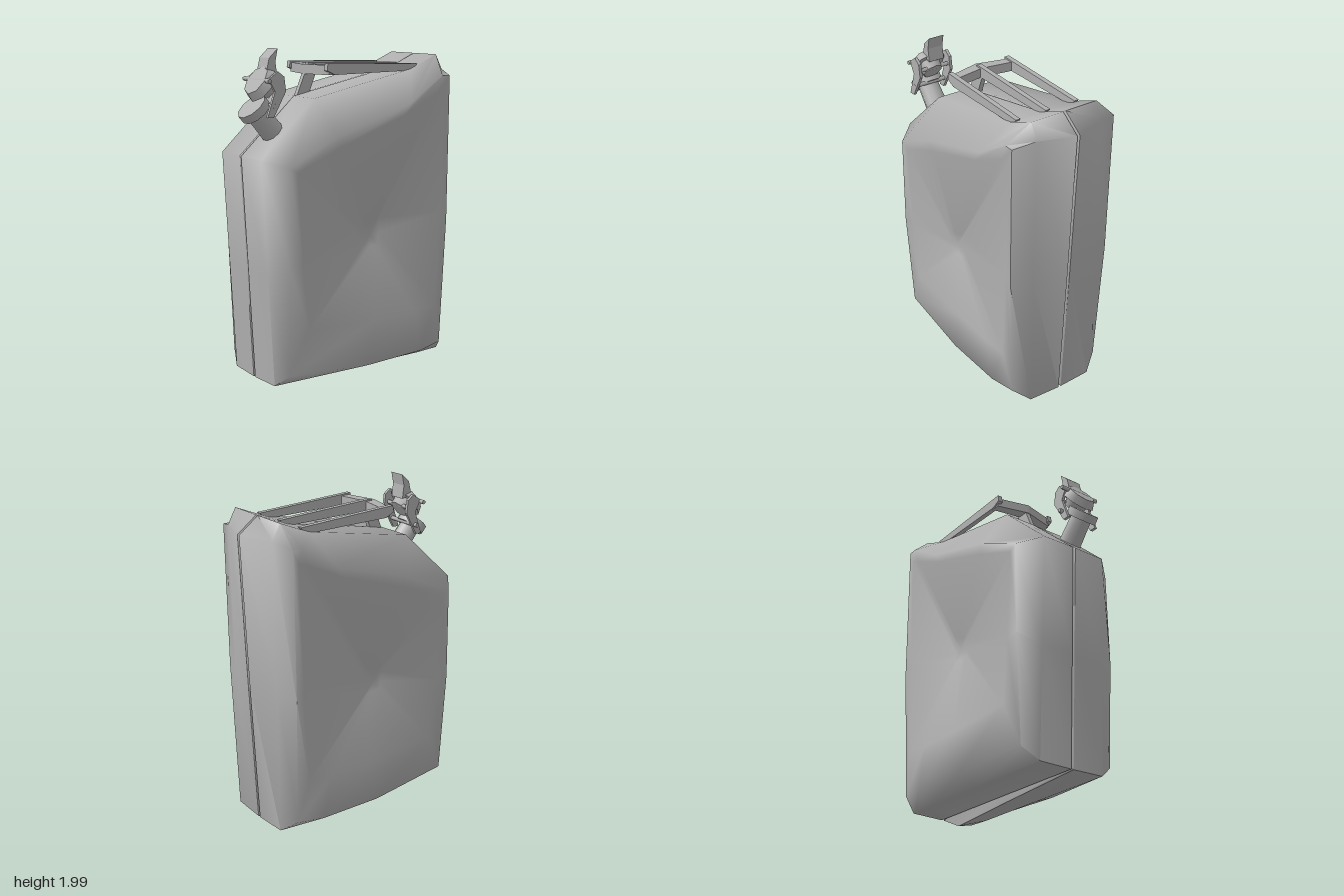
import * as THREE from 'three';
import { toCreasedNormals } from 'three/addons/utils/BufferGeometryUtils.js';

export function createModel() {
  const model = new THREE.Group();
  const grey = new THREE.MeshStandardMaterial({ color: 0xb0b0b0, side: THREE.DoubleSide });
  grey.name = 'plain grey';

  function add(name, geometry, parent = model) {
    const mesh = new THREE.Mesh(geometry, grey);
    mesh.name = name;
    parent.add(mesh);
    return mesh;
  }

  // Skin a closed body from outlines stacked along z, fanned shut at both ends.
  // A point may carry its own distance from the middle as a third number.
  function loft(rings, backCentre, frontCentre) {
    const n = rings[0].pts.length;
    const pos = [];
    const index = [];
    rings.forEach(({ z, pts }) => pts.forEach(([x, y, d = Math.abs(z)]) => pos.push(x, y, d * Math.sign(z))));
    pos.push(...backCentre, ...frontCentre);
    const back = rings.length * n, last = (rings.length - 1) * n;
    for (let i = 0; i < n; i++) {
      const j = (i + 1) % n;
      for (let k = 0; k < rings.length - 1; k++) {
        const a = k * n + i, b = k * n + j;
        index.push(a, b, b + n, a, b + n, a + n);
      }
      index.push(back, j, i, back + 1, last + i, last + j);
    }
    const g = new THREE.BufferGeometry();
    g.setAttribute('position', new THREE.Float32BufferAttribute(pos, 3));
    g.setIndex(index);
    return toCreasedNormals(g, 1.3);
  }

  // Body outlines, counter-clockwise from the bottom left corner
  const seam = [[-.585, .08], [0, .045], [.48, .01], [.64, .08], [.68, .96], [.715, 1.85],
    [.59, 1.94], [.4, 1.86], [-.3, 1.72], [-.655, 1.4], [-.62, .74]];
  const seamBack = seam.map(([x, y]) => [x, Math.max(y, .08)]);
  const groove = seamBack.map(([x, y]) => [x * .965, .95 + (y - .95) * .975]);
  const shoulder = [[-.58, .085], [0, .083], [.48, .08], [.635, .085], [.63, .96], [.64, 1.85],
    [.59, 1.94], [.4, 1.86], [-.3, 1.72], [-.65, 1.4], [-.615, .74]];
  const side = [[-.54, .16, .31], [0, .13], [.4, .14, .335], [.575, .16, .31], [.59, .95], [.595, 1.82],
    [.54, 1.82], [.3, 1.67], [-.22, 1.51], [-.54, 1.36], [-.55, .8]];
  const panel = [[-.42, .42], [.05, .4], [.35, .4], [.51, .42], [.54, 1], [.56, 1.74],
    [.5, 1.72], [.25, 1.6], [-.2, 1.45], [-.49, 1.33], [-.46, .8]];
  const [cx, cy] = [.02, .91];
  const press = panel.map(([x, y]) => [cx + (x - cx) * .12, cy + (y - cy) * .12]);
  const body = loft([
    { z: -.21, pts: press }, { z: -.337, pts: panel }, { z: -.34, pts: side }, { z: -.215, pts: shoulder },
    { z: -.008, pts: seamBack }, { z: 0, pts: groove }, { z: .008, pts: seam },
    { z: .215, pts: shoulder }, { z: .34, pts: side }, { z: .337, pts: panel }, { z: .21, pts: press },
  ], [cx, cy, -.19], [cx, cy, .19]);

  // Relax the pressed middle to a shallow dip, keeping its crisp normals
  const p = body.attributes.position;
  for (let i = 0; i < p.count; i++) {
    const z = p.getZ(i);
    if (Math.hypot(p.getX(i) - cx, p.getY(i) - cy) < .2) p.setZ(i, Math.sign(z) * .315);
  }
  add('body', body);

  // Extrude an outline in the xy plane, centred on a given z
  function plate(points, z, depth) {
    const shape = new THREE.Shape(points.map(([x, y]) => new THREE.Vector2(x, y)));
    const g = new THREE.ExtrudeGeometry(shape, { depth, bevelEnabled: false });
    g.translate(0, 0, z - depth / 2);
    return g;
  }

  // Three carrying rails; only the middle one has a leg down to the body
  const sideRail = [[-.205, 1.87], [-.15, 1.845], [.42, 1.85], [.45, 1.89], [-.2, 1.91]];
  const middleRail = [[-.29, 1.7], [-.21, 1.7], [-.15, 1.845], [.42, 1.85], [.45, 1.89], [-.2, 1.91]];
  add('handleRailLeft', plate(sideRail, .195, .03));
  add('handleRailMiddle', plate(middleRail, 0, .03));
  add('handleRailRight', plate(sideRail, -.195, .03));

  // Bowed plate joining the front ends of the rails
  const bow = [[-.185, -.2], [-.13, -.2], [-.165, 0], [-.13, .2], [-.185, .2], [-.235, 0]];
  const crossPlate = add('handleCrossPlate', plate(bow, 0, .055));
  crossPlate.rotation.x = Math.PI / 2;
  crossPlate.position.y = 1.872;

  // Spout, with its own y axis along the pouring direction
  const spout = new THREE.Group();
  spout.name = 'spout';
  spout.position.set(-.5, 1.53, .1);
  spout.rotation.z = .72;
  model.add(spout);
  add('neck', new THREE.CylinderGeometry(.062, .068, .2, 10), spout).position.y = .06;
  add('collar', new THREE.CylinderGeometry(.092, .092, .05, 10), spout).position.y = .185;

  // Open lid, leaning back over the hinge
  const lid = new THREE.Group();
  lid.name = 'lid';
  lid.position.set(-.585, 1.81, .11);
  lid.rotation.z = .96;
  model.add(lid);
  add('lidDish', new THREE.CylinderGeometry(.09, .11, .05, 8), lid).position.y = .01;
  add('lidPlug', new THREE.CylinderGeometry(.075, .06, .06, 8), lid).position.y = -.04;

  // Hinge pins and the paired clamp arms
  function pin(name, x, y, length, radius) {
    const m = add(name, new THREE.CylinderGeometry(radius, radius, length, 6));
    m.rotation.x = Math.PI / 2;
    m.position.set(x, y, .1);
  }
  pin('hingePin', -.56, 1.69, .25, .014);
  pin('clampPin', -.6, 1.83, .27, .013);
  pin('latchPin', -.52, 1.8, .2, .013);
  const arm = [[-.61, 1.63], [-.57, 1.63], [-.49, 1.77], [-.5, 1.85], [-.54, 1.88], [-.6, 1.84], [-.56, 1.77]];
  [.005, .215].forEach((z, i) => add(i ? 'clampArmLeft' : 'clampArmRight', plate(arm, z, .018)));

  // Thumb latch at the tip of the lid
  add('thumbLatch', plate([[-.57, 1.87], [-.5, 1.85], [-.51, 1.93], [-.495, 2], [-.55, 1.95]], .1, .1));

  return model;
}
